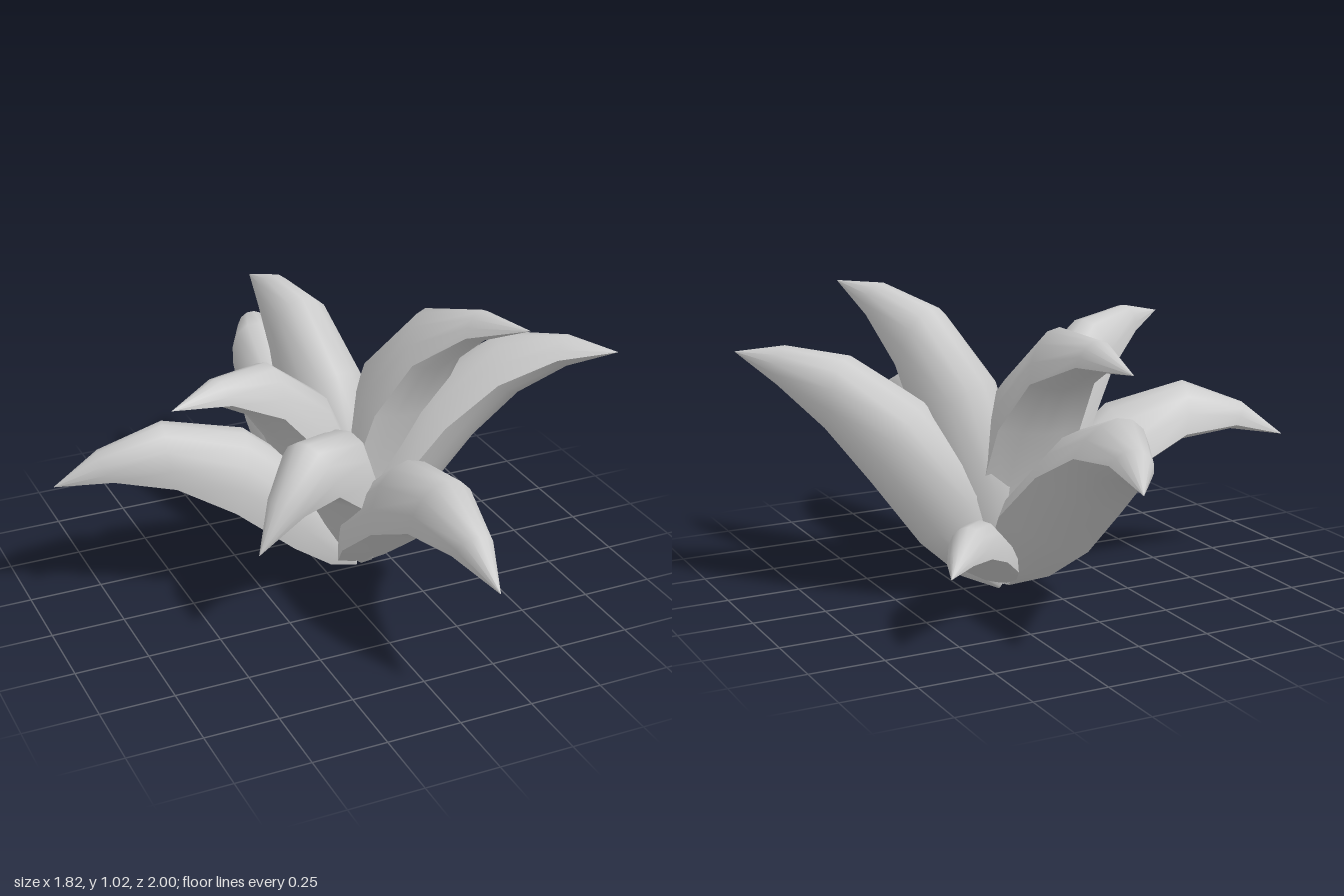
import * as THREE from 'three';

// Stations along a leaf: [distance along chord, bow off the chord, half width, crest height, crest lean, keel depth]
const STATIONS = [
  [0, 0, 0.03, 0.01, 0, 0],
  [0.12, 0.03, 0.115, 0.1, 0, 0.02],
  [0.28, 0.085, 0.165, 0.195, 0.01, 0.03],
  [0.5, 0.15, 0.155, 0.21, 0.07, 0.03],
  [0.69, 0.162, 0.12, 0.165, 0.08, 0.025],
  [0.86, 0.105, 0.07, 0.08, 0.04, 0.015],
  [1, 0, 0.001, 0.001, 0, 0],
];
const BASE = new THREE.Vector3(0.12, 0.01, -0.03);

// name, tip position, roll about the chord, bow factor, section scale, curl towards the tip
const LEAVES = [
  ['frontLeaf', [0.12, 0.43, 1.0], 0, 1, 1, 0],
  ['frontLeftUprightLeaf', [0.5, 1.01, 0.46], -0.35, 1.08, 1, 0],
  ['leftLeaf', [0.91, 0.82, 0.35], -0.58, 0.72, 1.05, 0],
  ['backLeftLowLeaf', [0.57, 0.26, -0.6], 0, 0.58, 0.6, 0],
  ['backLeaf', [0.14, 0.57, -1.0], -0.5, 1, 1, 0],
  ['backUprightLeaf', [0.02, 0.86, -0.73], -0.14, 1.4, 1, 0],
  ['rightLeaf', [-0.91, 0.45, -0.18], -0.18, 1, 1, 0],
  ['rightUprightLeaf', [-0.63, 0.85, 0.23], 0.1, 1, 0.9, 0],
  ['frontRightCurledLeaf', [-0.4, 0.35, 0.36], -0.18, 2.2, 0.97, 0.13],
];

// Thick tapering leaf: rounded upper skin and shallow keeled underside, sharp at the edges
function leafGeometry(tip, roll, bow, size, curl) {
  const d = new THREE.Vector3(...tip).sub(BASE);
  const length = d.length();
  d.normalize();
  const flatSide = new THREE.Vector3().crossVectors(d, new THREE.Vector3(0, 1, 0)).normalize();
  // Lean the bow sideways by the roll angle
  const up = new THREE.Vector3().crossVectors(flatSide, d)
    .multiplyScalar(Math.cos(roll)).addScaledVector(flatSide, Math.sin(roll));
  const side = new THREE.Vector3().crossVectors(d, up).normalize();

  const spine = STATIONS.map(([t, n]) =>
    new THREE.Vector2((t + curl * Math.sin(Math.PI * t)) * length, n * bow * length));
  const positions = [];
  const indices = [];
  const addSkin = (segments, section) => {
    const start = positions.length / 3;
    STATIONS.forEach((station, i) => {
      const a = spine[Math.max(i - 1, 0)];
      const b = spine[Math.min(i + 1, spine.length - 1)];
      const tangent = b.clone().sub(a).normalize();
      for (let j = 0; j <= segments; j++) {
        // Offsets across, off and along the spine
        const [w, h, l] = section(station, j / segments);
        const p = BASE.clone()
          .addScaledVector(d, spine[i].x + (tangent.x * l - tangent.y * h) * size)
          .addScaledVector(up, spine[i].y + (tangent.y * l + tangent.x * h) * size)
          .addScaledVector(side, w * size);
        positions.push(p.x, Math.max(p.y, 0), p.z);
      }
    });
    const row = segments + 1;
    for (let i = 0; i < STATIONS.length - 1; i++) {
      for (let j = 0; j < segments; j++) {
        const k = start + i * row + j;
        indices.push(k, k + 1, k + row, k + 1, k + row + 1, k + row);
      }
    }
  };
  addSkin(8, ([, , w, h, lean], v) => {
    const rise = Math.sin(Math.PI * v);
    return [-w * Math.cos(Math.PI * v), h * rise, lean * rise];
  });
  addSkin(4, ([, , w, , , keel], v) => [w * (1 - 2 * v), -keel * Math.sin(Math.PI * v), 0]);

  const geometry = new THREE.BufferGeometry();
  geometry.setAttribute('position', new THREE.Float32BufferAttribute(positions, 3));
  geometry.setIndex(indices);
  geometry.computeVertexNormals();
  return geometry;
}

export function createModel() {
  const plant = new THREE.Group();
  plant.name = 'succulentPlant';
  const material = new THREE.MeshStandardMaterial({ color: 0xcccccc, side: THREE.DoubleSide });
  for (const [name, tip, roll, bow, size, curl] of LEAVES) {
    const leaf = new THREE.Mesh(leafGeometry(tip, roll, bow, size, curl), material);
    leaf.name = name;
    plant.add(leaf);
  }
  return plant;
}
